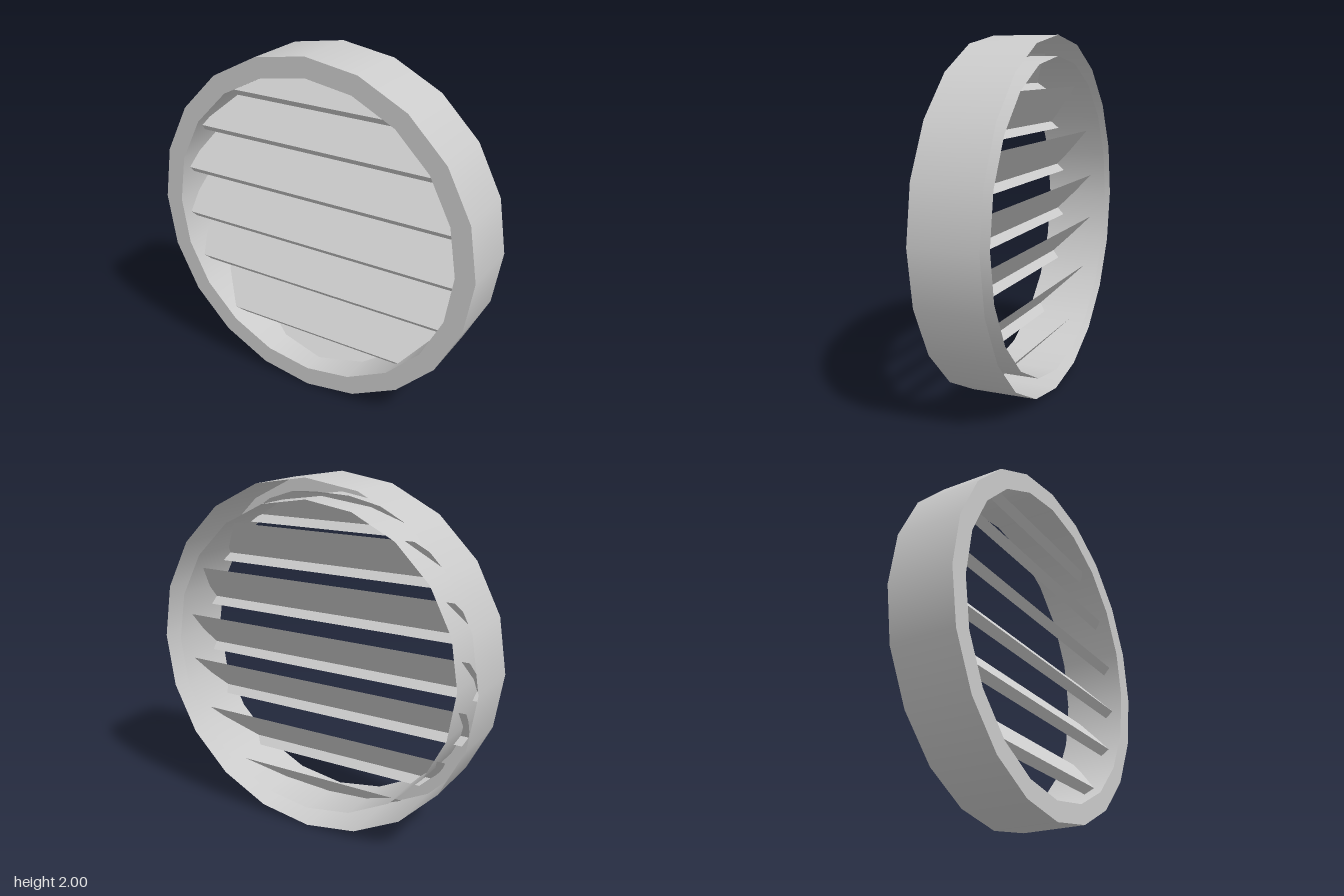
import * as THREE from 'three';

const SIDES = 20, OUTER = 1, INNER = 0.888, DEPTH = 0.38;
const material = new THREE.MeshStandardMaterial({ color: 0xcccccc, side: THREE.DoubleSide });

function add(parent, name, geometry, z = 0) {
  const mesh = new THREE.Mesh(geometry, material);
  mesh.name = name;
  mesh.position.z = z;
  parent.add(mesh);
  return mesh;
}

// Open tube along z
function wall(radius) {
  return new THREE.CylinderGeometry(radius, radius, DEPTH, SIDES, 1, true).rotateX(Math.PI / 2);
}

// Half of the slat's length at height y above the centre, ending just inside the frame cavity
function halfLength(y) {
  return Math.sqrt(Math.max(0, 0.92 ** 2 - y * y));
}

// Sloping sheet with a small return lip along its lower front edge
function slatGeometry(top) {
  const rows = 5;
  const geo = new THREE.PlaneGeometry(2, 1, 1, rows);
  const pos = geo.attributes.position;
  for (let i = 0; i < pos.count; i++) {
    const row = Math.floor(i / 2);
    const t = Math.min(row / (rows - 1), 1);
    const lip = row === rows ? 0.042 : 0;
    // heights beyond the cavity are held at its edge
    const y = THREE.MathUtils.clamp(top - 0.23 * t - lip, -0.92, 0.92);
    const z = -0.1 + 0.23 * t - lip;
    pos.setXYZ(i, Math.sign(pos.getX(i)) * halfLength(y), y, z);
  }
  const flat = geo.toNonIndexed();
  flat.computeVertexNormals();
  return flat;
}

export function createModel() {
  const model = new THREE.Group();
  model.name = 'roundLouverVent';

  // Frame: two walls joined by a front rim, hollow at the back
  const frame = new THREE.Group();
  frame.name = 'frame';
  add(frame, 'outerWall', wall(OUTER));
  // inner wall faces the centre
  const inner = wall(INNER).scale(-1, 1, 1);
  const n = inner.attributes.normal;
  for (let i = 0; i < n.count; i++) n.setXYZ(i, -n.getX(i), -n.getY(i), -n.getZ(i));
  add(frame, 'innerWall', inner);
  add(frame, 'frontRim', new THREE.RingGeometry(INNER, OUTER, SIDES), DEPTH / 2);
  model.add(frame);

  // Louver slats, by the height of each upper edge
  const slats = new THREE.Group();
  slats.name = 'slats';
  [0.96, 0.71, 0.425, 0.13, -0.145, -0.445, -0.73].forEach((top, i) => {
    add(slats, `slat${i + 1}`, slatGeometry(top));
  });
  model.add(slats);

  model.position.y = 1;
  const root = new THREE.Group();
  root.add(model);
  return root;
}
